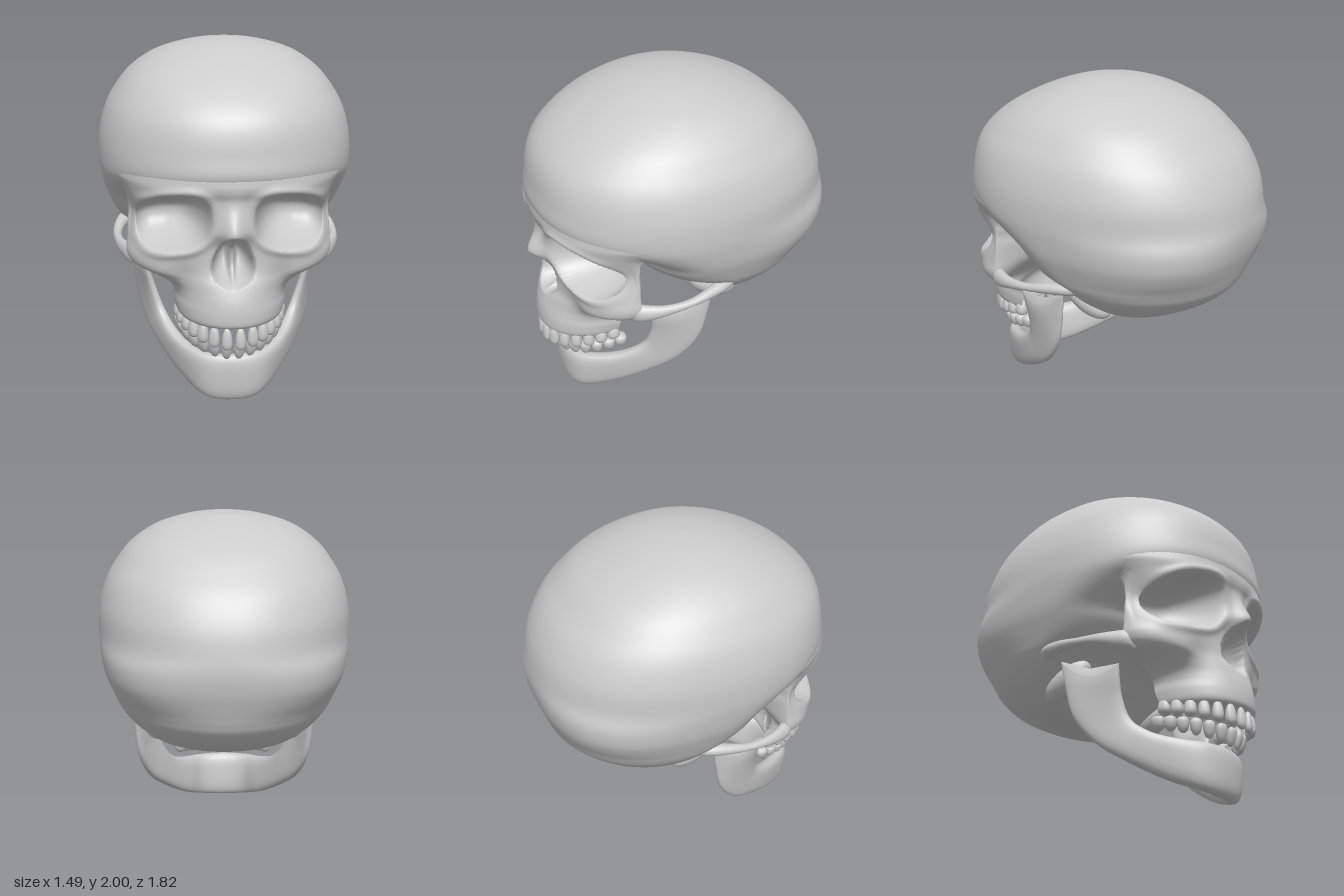
import * as THREE from 'three';

const bone = new THREE.MeshStandardMaterial({ color: 0xcccccc, roughness: 0.8 });
const pow = (v, e) => Math.sign(v) * Math.abs(v) ** e;
const bump = (d, r) => Math.exp(-((d / r) ** 2));

// Smooth interpolation (Catmull-Rom) through rows of key numbers, t in 0..1
function sample(keys, t) {
  const f = t * (keys.length - 1);
  const i = Math.min(Math.floor(f), keys.length - 2);
  const s = f - i;
  const k = (j) => keys[Math.max(0, Math.min(keys.length - 1, j))];
  const [a, b, c, d] = [k(i - 1), k(i), k(i + 1), k(i + 2)];
  return b.map((_, n) => {
    const m0 = (c[n] - a[n]) / 2, m1 = (d[n] - b[n]) / 2, e = b[n] - c[n];
    return b[n] + s * (m0 + s * (-3 * e - 2 * m0 - m1 + s * (2 * e + m0 + m1)));
  });
}

// Closed skin over rings of points, capped at both ends, facing outwards
function loft(name, rows, cols, point) {
  const pos = [], index = [];
  for (let r = 0; r <= rows; r++)
    for (let c = 0; c < cols; c++) pos.push(...point(r / rows, c / cols));
  for (let r = 0; r < rows; r++)
    for (let c = 0; c < cols; c++) {
      const a = r * cols + c, b = r * cols + (c + 1) % cols;
      index.push(a, b, a + cols, b, b + cols, a + cols);
    }
  [0, rows].forEach((r) => {
    const mid = [0, 0, 0], id = pos.length / 3;
    for (let c = 0; c < cols; c++)
      for (let n = 0; n < 3; n++) mid[n] += pos[(r * cols + c) * 3 + n] / cols;
    pos.push(...mid);
    for (let c = 0; c < cols; c++) {
      const a = r * cols + c, b = r * cols + (c + 1) % cols;
      index.push(...(r ? [a, b, id] : [b, a, id]));
    }
  });
  const v = (i) => new THREE.Vector3().fromArray(pos, i * 3);
  let volume = 0;
  for (let i = 0; i < index.length; i += 3)
    volume += v(index[i]).dot(v(index[i + 1]).cross(v(index[i + 2])));
  if (volume < 0) index.reverse();
  const geo = new THREE.BufferGeometry();
  geo.setAttribute('position', new THREE.Float32BufferAttribute(pos, 3));
  geo.setIndex(index);
  geo.computeVertexNormals();
  const mesh = new THREE.Mesh(geo, bone);
  mesh.name = name;
  return mesh;
}

// Horizontal section: key = [y, halfWidth, frontZ, widestZ, backZ, exponent, back exponent]
function section([y, w, front, zc, back, n, nBack = n], angle) {
  const e = 2 / (Math.sin(angle) > 0 ? n : nBack);
  const c = pow(Math.cos(angle), e), s = pow(Math.sin(angle), e);
  return [w * c, y, zc + s * (s > 0 ? front - zc : zc - back)];
}

const craniumKeys = [
  [0.65, 0.02, -0.25, -0.27, -0.29, 2], [0.645, 0.22, -0.15, -0.27, -0.42, 2],
  [0.69, 0.38, -0.09, -0.25, -0.56, 2], [0.75, 0.475, -0.02, -0.22, -0.68, 2],
  [0.80, 0.54, 0.05, -0.20, -0.75, 2], [0.86, 0.595, 0.14, -0.17, -0.805, 2.05],
  [0.91, 0.63, 0.25, -0.14, -0.83, 2.1], [0.95, 0.65, 0.34, -0.11, -0.845, 2.2],
  [1.02, 0.68, 0.39, -0.08, -0.87, 2.4], [1.10, 0.71, 0.43, -0.05, -0.895, 2.5],
  [1.20, 0.73, 0.63, -0.02, -0.91, 2.45], [1.30, 0.742, 0.845, 0, -0.905, 2.2],
  [1.45, 0.738, 0.85, 0, -0.875, 2.2], [1.60, 0.70, 0.82, 0, -0.80, 2.2],
  [1.71, 0.64, 0.745, 0, -0.70, 2.2], [1.82, 0.55, 0.60, 0.01, -0.57, 2.2],
  [1.92, 0.40, 0.40, 0.02, -0.37, 2.1], [1.98, 0.20, 0.21, 0.03, -0.16, 2],
  [2.0, 0.005, 0.045, 0.04, 0.035, 2],
];

// From the palate, round the tooth ridge and up into the forehead
const faceKeys = [
  [0.60, 0.02, 0.68, 0.66, 0.64, 2.1, 2], [0.59, 0.20, 0.74, 0.52, 0.585, 2.1, 2],
  [0.52, 0.25, 0.82, 0.50, 0.54, 2.1, 2], [0.49, 0.275, 0.845, 0.50, 0.53, 2.1, 2],
  [0.51, 0.305, 0.866, 0.49, 0.53, 2.1, 2], [0.57, 0.32, 0.868, 0.47, 0.56, 2.1, 2],
  [0.63, 0.325, 0.86, 0.46, 0.57, 2.1, 2], [0.68, 0.36, 0.845, 0.45, 0.55, 2.1, 2],
  [0.73, 0.44, 0.825, 0.45, 0.52, 2.1, 2], [0.78, 0.55, 0.80, 0.45, 0.47, 2.1, 2],
  [0.84, 0.585, 0.79, 0.45, 0.40, 2.1, 1.6], [0.92, 0.58, 0.79, 0.45, 0.32, 2.1, 1.3],
  [1.01, 0.575, 0.79, 0.45, 0.30, 2.1, 1.3], [1.10, 0.57, 0.79, 0.45, 0.30, 2.1, 1.3],
  [1.20, 0.59, 0.82, 0.42, 0.28, 2.25, 1.5], [1.255, 0.66, 0.85, 0.2, 0.05, 2.3, 2.2],
  [1.30, 0.73, 0.858, 0, -0.1, 2.25, 2.2], [1.36, 0.725, 0.845, 0, -0.1, 2.2, 2.2],
  [1.42, 0.66, 0.78, 0, -0.1, 2.2, 2.2],
];

// Relief of the face: eye sockets, nasal bones, nasal opening with septum, cheek hollows
function relief(x, y) {
  const ax = Math.abs(x);
  const ex = Math.abs((ax - 0.325) / 0.205);
  const ey = Math.abs((y - 1.07 + 0.14 * (ax - 0.325)) / 0.165);
  const eye = (ex ** 2.6 + ey ** 2.6) ** (1 / 2.6);
  const low = (y - 0.72) / 0.3;
  const nose = Math.hypot(x / (0.138 * Math.max(0.3, 1.1 - 0.6 * low)), (y - 0.865) / 0.155);
  const septum = 1 - 0.6 * bump(x, 0.018);
  return 0.118 * bump(x, 0.085) * bump(y - 1.035, y > 1.035 ? 0.13 : 0.08)
    + 0.014 * bump(eye - 1.1, 0.14)
    - 0.28 * Math.max(0, 1 - eye ** 2.5)
    - 0.21 * Math.max(0, 1 - nose ** 3) * septum
    - 0.08 * THREE.MathUtils.smoothstep(ax, 0.38, 0.55) * bump(y - 1.05, 0.13)
    - 0.035 * bump(Math.hypot(ax - 0.27, y - 0.74), 0.09);
}

// Cheek arch: [x, y, z, radiusX, radiusY]
const archKeys = [
  [0.44, 0.82, 0.52, 0.03, 0.045], [0.525, 0.82, 0.485, 0.05, 0.06],
  [0.58, 0.823, 0.41, 0.04, 0.05], [0.625, 0.838, 0.30, 0.027, 0.032],
  [0.64, 0.853, 0.17, 0.025, 0.024], [0.625, 0.872, 0.04, 0.034, 0.032],
  [0.575, 0.885, -0.10, 0.05, 0.04], [0.49, 0.89, -0.24, 0.03, 0.03],
];

// Jaw, chin to joint: [lower edge xyz, upper edge xyz, half thickness, outward angle, notch depth]
const jawHalf = [
  [0, 0.005, 0.69, 0, 0.285, 0.71, 0.05, 0, 0],
  [0.145, 0.02, 0.655, 0.15, 0.285, 0.675, 0.05, 0.4, 0],
  [0.26, 0.085, 0.495, 0.255, 0.305, 0.56, 0.048, 0.95, 0],
  [0.37, 0.19, 0.32, 0.33, 0.35, 0.44, 0.044, 1.1, 0],
  [0.46, 0.31, 0.16, 0.385, 0.43, 0.35, 0.038, 1.2, 0],
  [0.515, 0.47, 0.05, 0.43, 0.55, 0.325, 0.032, 1.27, 0],
  [0.535, 0.65, 0.005, 0.46, 0.65, 0.33, 0.028, 1.32, 0.02],
  [0.55, 0.82, -0.02, 0.48, 0.735, 0.34, 0.012, 1.33, 0.09],
];
const jawKeys = [
  ...jawHalf.slice(1).reverse().map((k) => k.map((v, i) => ([0, 3, 7].includes(i) ? -v : v))),
  ...jawHalf,
];

function jawPoint(v, u) {
  const [px, py, pz, qx, qy, qz, th, out, notch] = sample(jawKeys, v);
  const c = pow(Math.cos(u * 2 * Math.PI), 0.7), s = pow(Math.sin(u * 2 * Math.PI), 0.7);
  return [
    (px + qx + (qx - px) * c) / 2 + Math.sin(out) * th * s,
    (py + qy + (qy - py) * c) / 2 - notch * (1 - c * c),
    (pz + qz + (qz - pz) * c) / 2 + Math.cos(out) * th * s,
  ];
}

// Tooth crown: rounded, narrowing towards the root (+y)
function toothGeometry() {
  const geo = new THREE.SphereGeometry(1, 14, 10), p = geo.attributes.position;
  for (let i = 0; i < p.count; i++) {
    const y = p.getY(i), taper = 1 - 0.25 * y;
    p.setXYZ(i, pow(p.getX(i), 0.8) * taper, pow(y, 0.85), pow(p.getZ(i), 0.8) * taper);
  }
  geo.computeVertexNormals();
  return geo;
}

// Row of teeth along a half ellipse; root is +1 for upper teeth and -1 for lower
function teeth(name, root, rx, rz, zc, yFront, yBack, height) {
  const row = new THREE.Group(), geo = toothGeometry(), count = 14;
  row.name = name;
  const arch = new THREE.EllipseCurve(0, zc, rx, rz, 0, Math.PI);
  for (let i = 0; i < count; i++) {
    const u = (i + 0.5) / count, p = arch.getPointAt(u), dir = arch.getTangentAt(u);
    const back = Math.min(1, Math.abs(u - 0.5) * 2.2) ** 1.3;
    const tooth = new THREE.Mesh(geo, bone);
    tooth.name = back > 0.55 ? 'molar' : 'frontTooth';
    tooth.position.set(p.x, THREE.MathUtils.lerp(yFront, yBack, back), p.y);
    tooth.rotation.order = 'YXZ';
    tooth.rotation.set(root < 0 ? Math.PI + 0.25 * (1 - back) : 0, Math.atan2(dir.y, -dir.x), 0);
    tooth.scale.set(0.029 + 0.009 * back, height * (1 - 0.28 * back), 0.022 + 0.017 * back);
    row.add(tooth);
  }
  return row;
}

export function createModel() {
  const skull = new THREE.Group();
  skull.name = 'skull';

  skull.add(loft('cranium', 80, 80, (v, u) => section(sample(craniumKeys, v), u * 2 * Math.PI)));

  // Face, with most columns spent on the front half
  skull.add(loft('face', 144, 200, (v, u) => {
    const angle = u < 0.75 ? (u / 0.75) * Math.PI : Math.PI * (1 + (u - 0.75) / 0.25);
    const p = section(sample(faceKeys, v), angle);
    if (u < 0.75) p[2] += relief(p[0], p[1]) * Math.min(1, 4 * Math.sin(angle));
    return p;
  }));

  for (const side of [1, -1]) {
    skull.add(loft(side > 0 ? 'leftCheekArch' : 'rightCheekArch', 42, 20, (v, u) => {
      const [x, y, z, rx, ry] = sample(archKeys, v), a = u * 2 * Math.PI;
      return [side * (x + rx * Math.cos(a)), y + ry * Math.sin(a), z];
    }));
    // Bony knob behind the jaw joint
    const knob = new THREE.Mesh(new THREE.SphereGeometry(1, 24, 16), bone);
    knob.name = side > 0 ? 'leftMastoid' : 'rightMastoid';
    knob.scale.set(0.09, 0.085, 0.17);
    knob.position.set(side * 0.4, 0.765, -0.09);
    knob.rotation.x = -0.5;
    skull.add(knob);
  }

  skull.add(loft('lowerJaw', 112, 28, jawPoint));
  skull.add(teeth('upperTeeth', 1, 0.285, 0.375, 0.47, 0.425, 0.495, 0.065));
  skull.add(teeth('lowerTeeth', -1, 0.28, 0.35, 0.425, 0.33, 0.41, 0.056));
  return skull;
}
